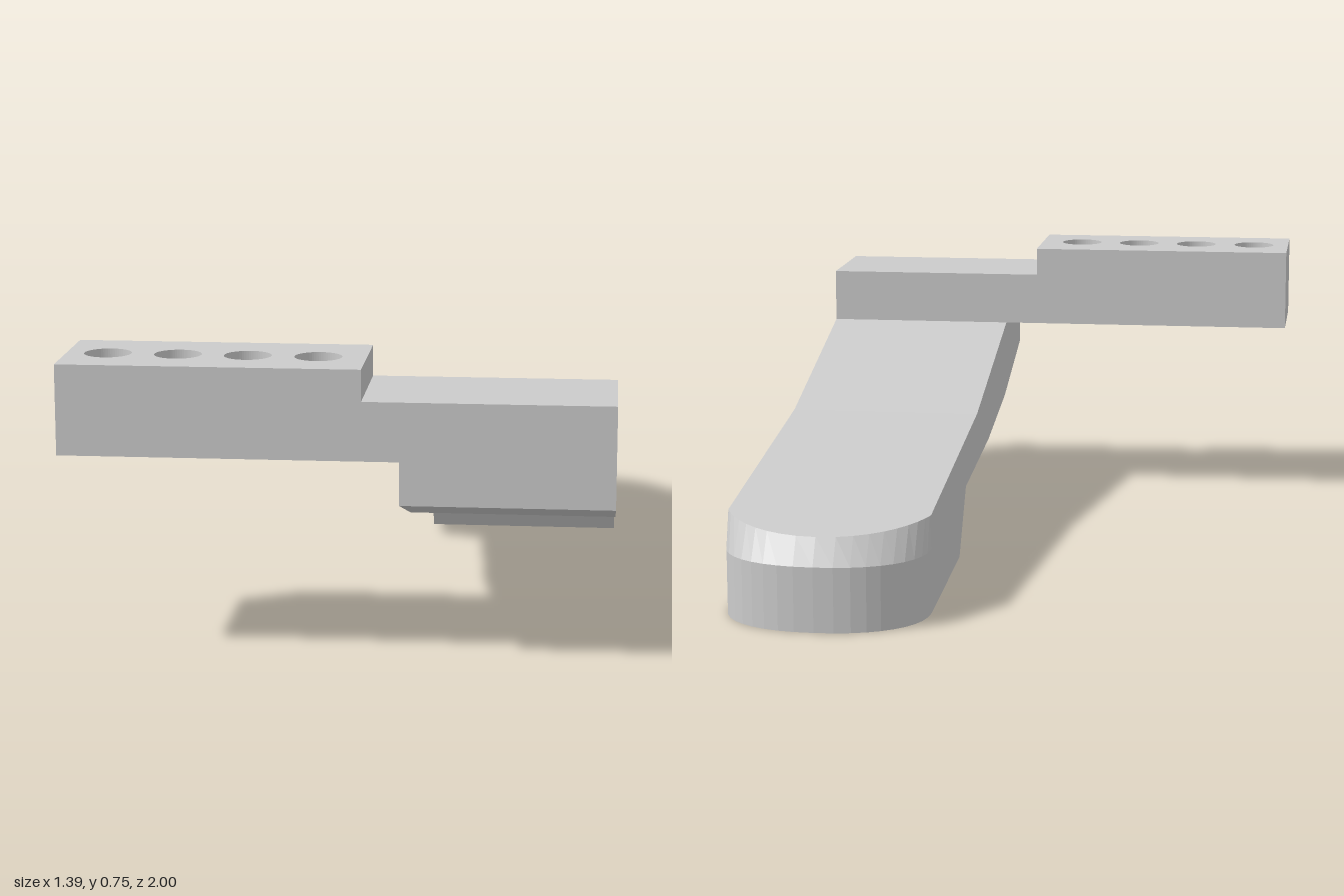
import * as THREE from 'three';

const material = new THREE.MeshStandardMaterial({ color: 0xcccccc, flatShading: true });
const LEFT = 0.693, INNER = 0.161;           // sides of the arm
const MID = (LEFT + INNER) / 2, HALF = (LEFT - INNER) / 2;
const PAD_FRONT = -0.305, ROUND_START = -0.78;

// Shape from [x, z] points (seen from above, anticlockwise), extruded upwards with a unit height
function extrudePlan(points, holes, steps) {
  const shape = new THREE.Shape(points.map(([x, z]) => new THREE.Vector2(x, -z)));
  for (const [x, z, r] of holes) {
    shape.holes.push(new THREE.Path().absarc(x, -z, r, 0, Math.PI * 2, true));
  }
  const geo = new THREE.ExtrudeGeometry(shape, { depth: 1, steps, bevelEnabled: false, curveSegments: 32 });
  return geo.rotateX(-Math.PI / 2);
}

// Move every vertex by a rule
function reshape(geo, rule) {
  const pos = geo.attributes.position;
  const v = new THREE.Vector3();
  for (let i = 0; i < pos.count; i++) {
    rule(v.fromBufferAttribute(pos, i));
    pos.setXYZ(i, v.x, v.y, v.z);
  }
  geo.computeVertexNormals();
  return geo;
}

function addMesh(group, name, geo) {
  const mesh = new THREE.Mesh(geo, material);
  mesh.name = name;
  group.add(mesh);
}

const topY = (z) => 0.36 + (z - 0.04) * 0.122;
const bottomY = (z) => Math.max(0, 0.027 * (z - ROUND_START) / (PAD_FRONT - ROUND_START));

export function createModel() {
  const group = new THREE.Group();
  group.name = 'pedalArm';

  // Drilled mounting bar
  const barHoles = [-0.588, -0.41, -0.233, -0.055].map((x) => [x, 0.84, 0.06]);
  const bar = extrudePlan([[-LEFT, 1], [0.067, 1], [0.067, 0.67], [-LEFT, 0.67]], barHoles, 1);
  addMesh(group, 'mountingBar', bar.scale(1, 0.23, 1).translate(0, 0.52, 0));

  // Lower step joining the bar to the arm
  const step = new THREE.BoxGeometry(INNER - 0.067, 0.15, 0.33);
  addMesh(group, 'barStep', step.translate((INNER + 0.067) / 2, 0.595, 0.835));

  // Bent arm, side profile in [z, y]
  const profile = [
    [1, 0.41], [1, 0.67], [0.67, 0.67], [0.67, 0.52], [0.04, 0.36],
    [PAD_FRONT, topY(PAD_FRONT)], [PAD_FRONT, 0.027], [-0.18, 0.198], [0.27, 0.238], [0.63, 0.3],
  ];
  const side = new THREE.Shape(profile.map(([z, y]) => new THREE.Vector2(-z, y)));
  const arm = new THREE.ExtrudeGeometry(side, { depth: LEFT - INNER, bevelEnabled: false });
  addMesh(group, 'arm', arm.rotateY(Math.PI / 2).translate(INNER, 0, 0));

  // Plan outline of the pad with its rounded, slightly squared end
  const outline = [[INNER, PAD_FRONT], [LEFT, PAD_FRONT]];
  for (let i = 0; i <= 20; i++) {
    const a = Math.PI * i / 20, c = Math.cos(a), power = 2 / 2.25;
    outline.push([
      MID + HALF * Math.sign(c) * Math.abs(c) ** power,
      ROUND_START - 0.22 * Math.max(0, Math.sin(a)) ** power,
    ]);
  }

  // Lower layer of the pad, with a round socket in its sloping underside
  const ledge = 0.1, rim = 0.17, socketZ = -0.637;
  const base = reshape(extrudePlan(outline, [[MID, socketZ, 0.14]], 1), (v) => {
    v.y = v.y < 0.5 ? bottomY(v.z) : ledge;
  });
  addMesh(group, 'padBase', base);

  // Middle layer, where the socket narrows
  const middle = extrudePlan(outline, [[MID, socketZ, 0.125]], 1);
  addMesh(group, 'padMiddle', middle.scale(1, rim - ledge, 1).translate(0, ledge, 0));

  // Top layer, chamfered around the rounded end and closing the socket
  const R = 0.288, drop = Math.sqrt(R * R - HALF * HALF);
  const top = reshape(extrudePlan(outline, [], 1), (v) => {
    if (v.y < 0.5) v.y = rim;
    else {
      if (v.z < ROUND_START) v.z = ROUND_START - (Math.sqrt(R * R - (v.x - MID) ** 2) - drop);
      v.y = topY(v.z);
    }
  });
  addMesh(group, 'padTop', top);

  return group;
}
